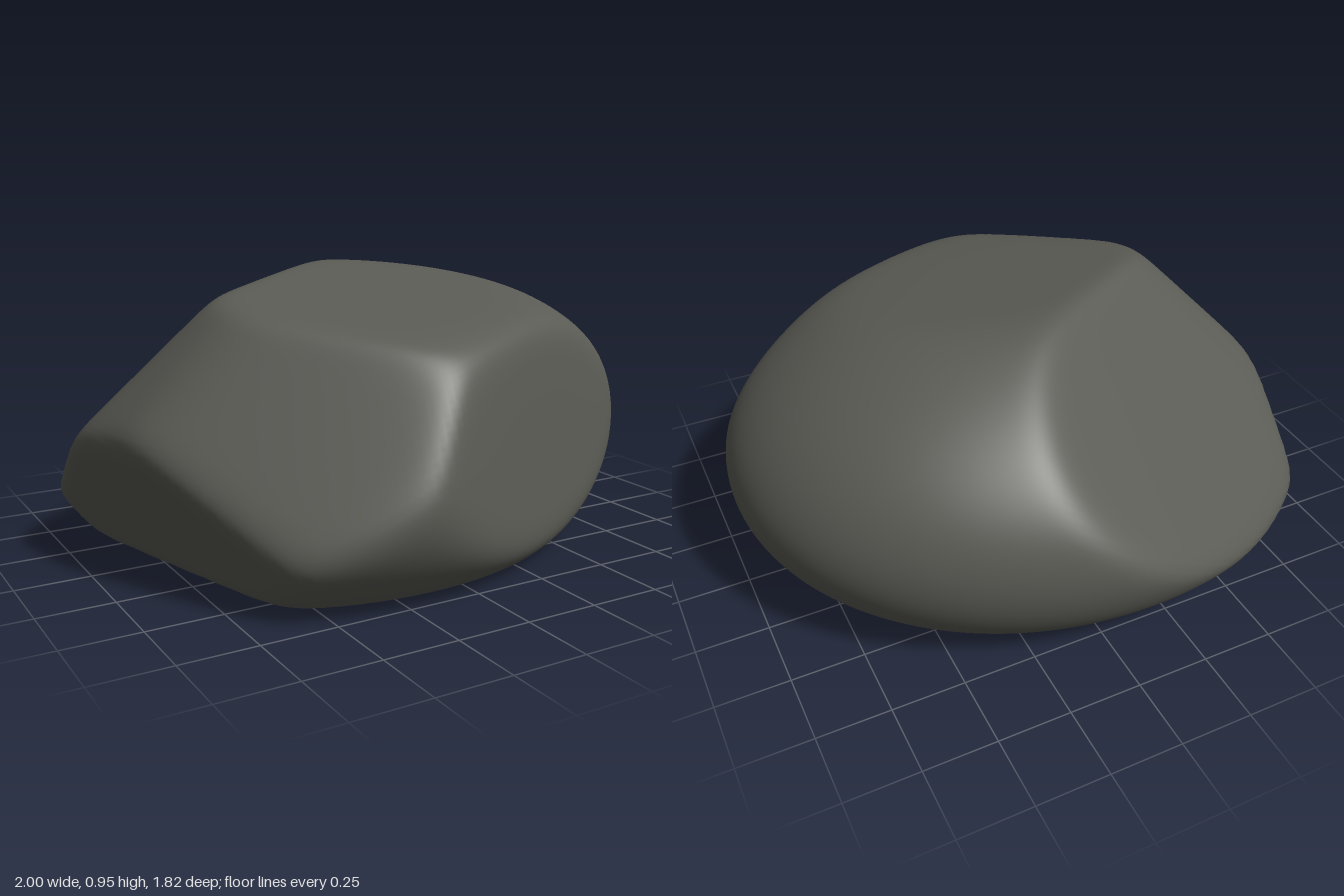
import * as THREE from 'three';
import { mergeVertices } from 'three/addons/utils/BufferGeometryUtils.js';

// Flat cuts through the stone: outward normal and distance from the origin
const cuts = [
  { n: [0, -1, 0], d: 0 },                  // resting face
  { n: [0, 0.985, 0.172], d: 0.902 },       // top
  { n: [0.44, 0.12, 0.87], d: 0.75 },       // broad front
  { n: [-0.58, 0.51, 0.63], d: 0.953 },     // front corner
  { n: [-0.735, 0.675, 0.05], d: 1.043 },   // side shoulder
  { n: [-0.87, -0.42, 0.24], d: 0.675 },    // undercut side
  { n: [-0.456, 0.678, -0.573], d: 0.838 }  // broad sloping back
].map(({ n, d }) => ({ n: new THREE.Vector3(...n), d }));

const CORE = new THREE.Vector3(0, 0.4, 0);
const BODY_CENTRE = new THREE.Vector3(-0.15, 0.4, 0);
const BODY_RADII = new THREE.Vector3(1.15, 0.6, 0.925);
const SHARPNESS = 30;

// Distance from the core to the rounded body along a direction
function bodyDistance(dir) {
  const o = CORE.clone().sub(BODY_CENTRE).divide(BODY_RADII);
  const v = dir.clone().divide(BODY_RADII);
  const a = v.dot(v), b = o.dot(v), c = o.dot(o) - 1;
  return (-b + Math.sqrt(b * b - a * c)) / a;
}

// Soft minimum of the body and all the cuts, so that edges are worn round
function stoneDistance(dir) {
  let sum = Math.pow(1 / bodyDistance(dir), SHARPNESS);
  for (const { n, d } of cuts) {
    const facing = n.dot(dir);
    if (facing > 0) sum += Math.pow(facing / (d - n.dot(CORE)), SHARPNESS);
  }
  return Math.pow(sum, -1 / SHARPNESS);
}

// Sphere whose points are pushed out to the stone's surface
function stoneGeometry() {
  let geo = new THREE.IcosahedronGeometry(1, 40);
  geo.deleteAttribute('normal');
  geo.deleteAttribute('uv');
  geo = mergeVertices(geo, 1e-4);

  const pos = geo.attributes.position;
  const p = new THREE.Vector3();
  for (let i = 0; i < pos.count; i++) {
    p.fromBufferAttribute(pos, i).normalize();
    p.multiplyScalar(stoneDistance(p)).add(CORE);
    pos.setXYZ(i, p.x, p.y, p.z);
  }
  geo.computeVertexNormals();
  return geo;
}

export function createModel() {
  const group = new THREE.Group();
  group.name = 'rock';
  const stone = new THREE.MeshStandardMaterial({ color: 0x5b5b55 });
  stone.name = 'dark grey stone';
  const mesh = new THREE.Mesh(stoneGeometry(), stone);
  mesh.name = 'boulder';
  group.add(mesh);
  return group;
}
